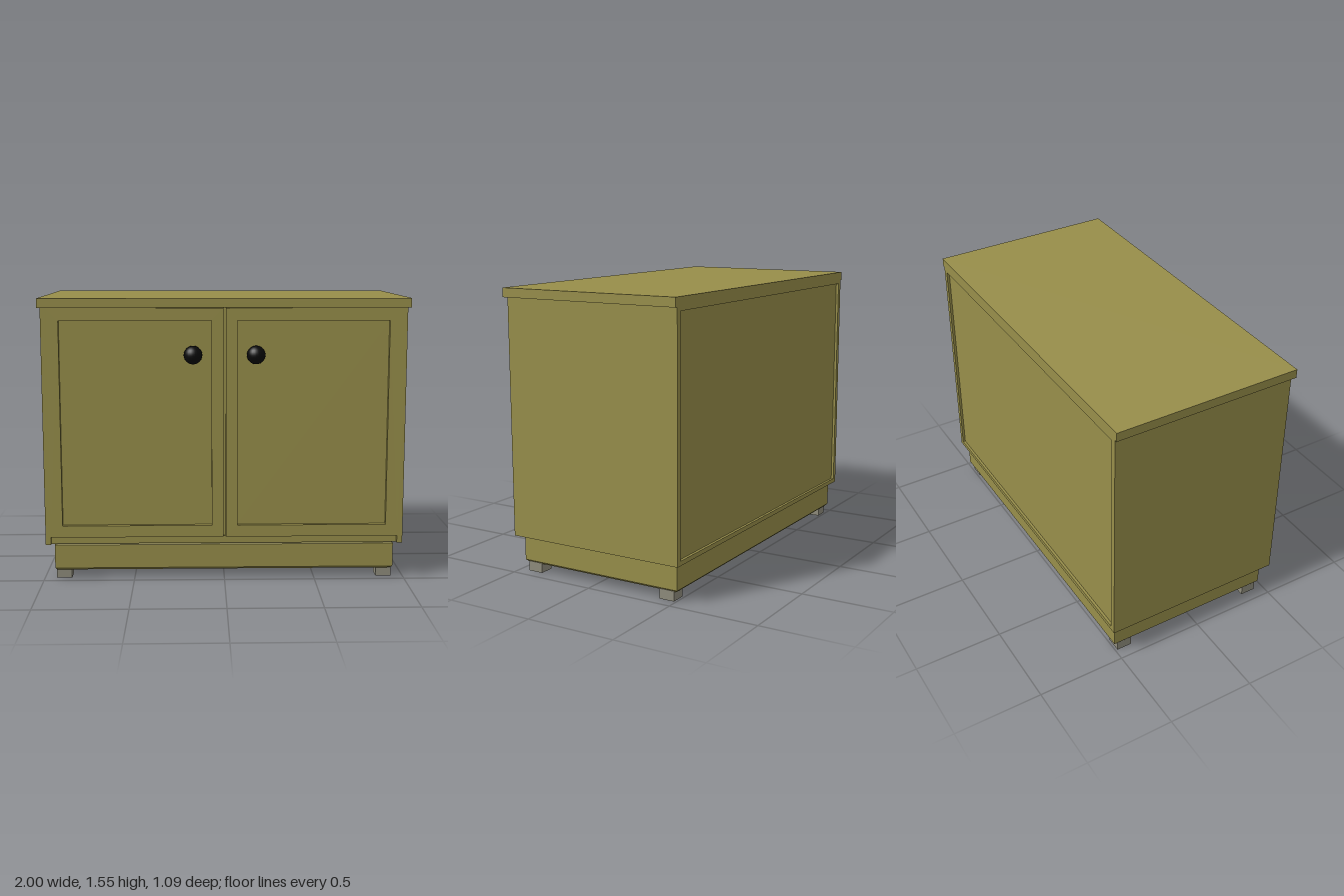
import * as THREE from 'three';

export function createModel() {
  const model = new THREE.Group();
  const paint = new THREE.MeshStandardMaterial({ color: 0x978e4a });
  paint.name = 'olive paint';
  const black = new THREE.MeshStandardMaterial({ color: 0x0a0a0a });
  black.name = 'black knob';
  const grey = new THREE.MeshStandardMaterial({ color: 0x8f8c7c });
  grey.name = 'grey foot';

  const add = (name, geometry, material) => {
    const mesh = new THREE.Mesh(geometry, material);
    mesh.name = name;
    model.add(mesh);
    return mesh;
  };
  // Box given by its limits on each axis
  const box = (name, material, x0, x1, y0, y1, z0, z1) => {
    const mesh = add(name, new THREE.BoxGeometry(x1 - x0, y1 - y0, z1 - z0), material);
    mesh.position.set((x0 + x1) / 2, (y0 + y1) / 2, (z0 + z1) / 2);
    return mesh;
  };
  const rectangle = (path, x0, x1, y0, y1) => path
    .moveTo(x0, y0).lineTo(x1, y0).lineTo(x1, y1).lineTo(x0, y1).closePath();

  // Worktop and carcass
  box('worktop', paint, -1, 1, 1.505, 1.555, -0.54, 0.52);
  box('bottomBoard', paint, -0.955, 0.955, 0.205, 0.23, -0.54, 0.465);
  box('bottomRail', paint, -0.955, 0.955, 0.205, 0.245, 0.44, 0.48);
  box('backPanel', paint, -0.955, 0.955, 0.23, 1.505, -0.525, -0.51);
  box('backTopRail', paint, -0.955, 0.955, 1.485, 1.505, -0.54, -0.52);
  box('centreStile', paint, -0.04, 0.04, 0.23, 1.505, 0.44, 0.468);

  // Plinth with chamfered edges
  const bevel = 0.012;
  const outline = new THREE.Shape();
  rectangle(outline, -0.94 + bevel, 0.94 - bevel, -0.465 + bevel, 0.51 - bevel);
  const plinth = new THREE.ExtrudeGeometry(outline, {
    depth: 0.155 - 2 * bevel, bevelEnabled: true, bevelSegments: 1,
    bevelSize: bevel, bevelThickness: bevel,
  });
  plinth.rotateX(-Math.PI / 2).translate(0, 0.05 + bevel, 0);
  add('plinth', plinth, paint);

  for (const [side, s] of [['left', 1], ['right', -1]]) {
    const span = (a, b) => (s > 0 ? [a, b] : [-b, -a]);
    box(side + 'SidePanel', paint, ...span(0.955, 0.985), 0.205, 1.505, -0.54, 0.5);

    // Door frame with a recessed panel
    const frame = rectangle(new THREE.Shape(), ...span(0.007, 0.955), 0.245, 1.503);
    frame.holes.push(rectangle(new THREE.Path(), ...span(0.07, 0.89), 0.31, 1.435));
    const frameGeometry = new THREE.ExtrudeGeometry(frame, { depth: 0.03, bevelEnabled: false });
    add(side + 'DoorFrame', frameGeometry.translate(0, 0, 0.47), paint);
    box(side + 'DoorPanel', paint, ...span(0.06, 0.9), 0.3, 1.445, 0.46, 0.475);

    // Round knob
    const knob = add(side + 'Knob', new THREE.SphereGeometry(0.05, 24, 16), black);
    knob.position.set(s * 0.17, 1.25, 0.496);

    // Feet
    box(side + 'FrontFoot', grey, ...span(0.85, 0.935), 0, 0.055, 0.358, 0.445);
    box(side + 'BackFoot', grey, ...span(0.85, 0.935), 0, 0.055, -0.487, -0.4);
  }
  return model;
}
